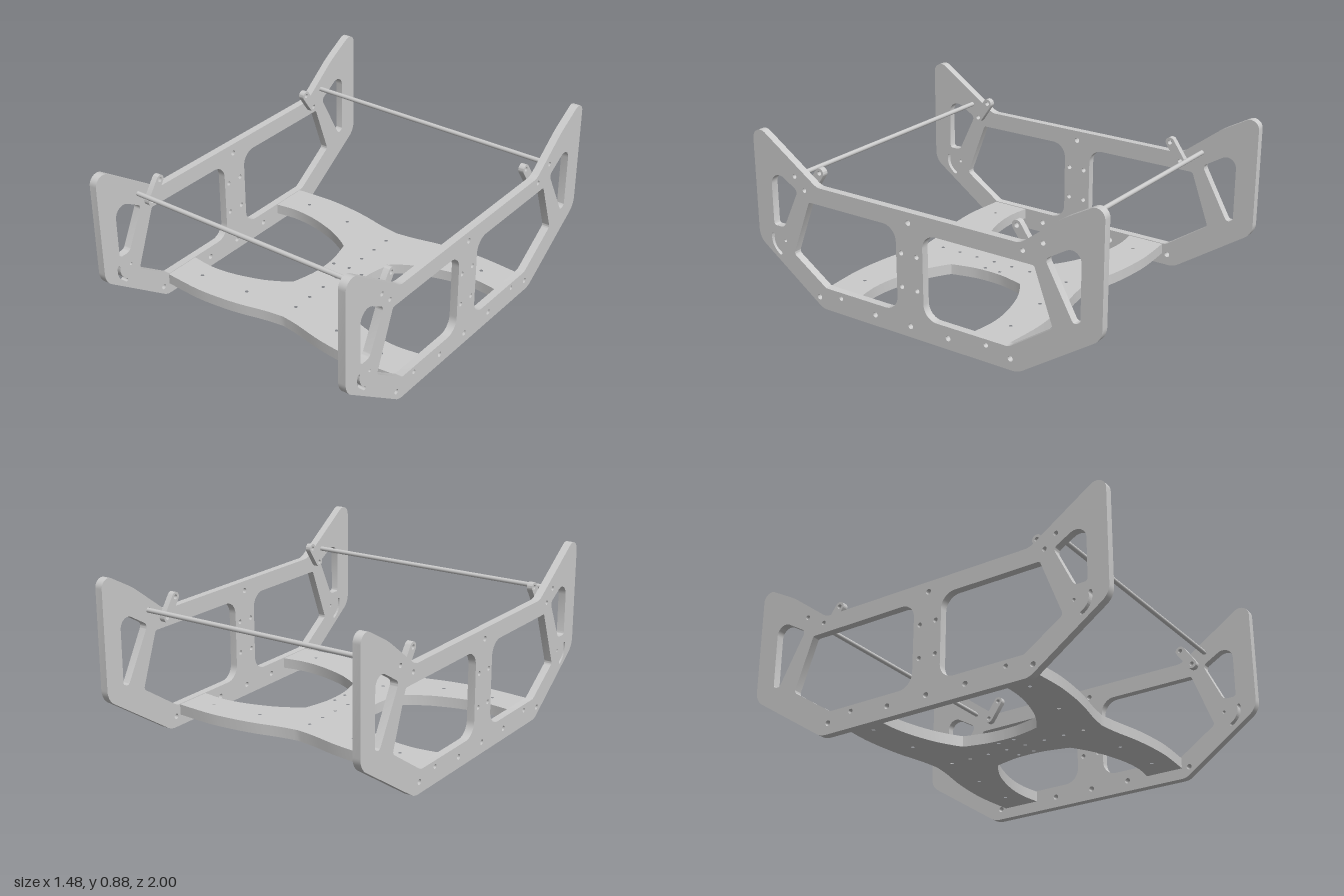
import * as THREE from 'three';
import { toCreasedNormals } from 'three/addons/utils/BufferGeometryUtils.js';

const material = new THREE.MeshStandardMaterial({ color: 0xcccccc });

// Polygon whose corners [u, v, radius] are filleted with near-circular arcs
function roundedPolygon(corners, path) {
  const n = corners.length;
  corners.forEach(([u, v, r], i) => {
    const p = new THREE.Vector2(u, v);
    const a = new THREE.Vector2(...corners[(i + n - 1) % n].slice(0, 2)).sub(p).normalize();
    const b = new THREE.Vector2(...corners[(i + 1) % n].slice(0, 2)).sub(p).normalize();
    const turn = Math.PI - Math.acos(a.dot(b));
    const cut = r * Math.tan(turn / 2);
    const inner = cut - (4 / 3) * Math.tan(turn / 4) * r;
    const at = (dir, d) => p.clone().addScaledVector(dir, d);
    const s = at(a, cut), c1 = at(a, inner), c2 = at(b, inner), e = at(b, cut);
    if (i === 0) path.moveTo(s.x, s.y);
    else path.lineTo(s.x, s.y);
    path.bezierCurveTo(c1.x, c1.y, c2.x, c2.y, e.x, e.y);
  });
  path.closePath();
  return path;
}

function addRoundHoles(shape, centres, radius) {
  for (const [u, v] of centres) {
    shape.holes.push(new THREE.Path().absarc(u, v, radius, 0, Math.PI * 2, true));
  }
}

function extrude(shape, depth) {
  const g = new THREE.ExtrudeGeometry(shape, { depth, bevelEnabled: false, curveSegments: 10 });
  return toCreasedNormals(g, 0.5);
}

function addMesh(parent, geometry, name) {
  const mesh = new THREE.Mesh(geometry, material);
  mesh.name = name;
  parent.add(mesh);
  return mesh;
}

// Side plate drawn in (z, y)
function sidePlateShape() {
  const shape = roundedPolygon([
    [1, 0.9, 0.05], [0.6, 0.632, 0.08], [-0.575, 0.632, 0.08], [-0.795, 0.797, 0.5],
    [-1, 0.91, 0.045], [-1, 0.285, 0.09], [-0.565, 0, 0.11], [0.595, 0, 0.08], [1, 0.285, 0.09],
  ], new THREE.Shape());
  const windows = [
    // large front and rear openings
    [[0.655, 0.545, 0.015], [0.12, 0.545, 0.075], [0.12, 0.115, 0.075], [0.57, 0.115, 0.03], [0.77, 0.25, 0.02]],
    [[-0.035, 0.545, 0.075], [-0.65, 0.545, 0.015], [-0.75, 0.27, 0.02], [-0.515, 0.115, 0.05], [-0.035, 0.115, 0.075]],
    // end openings
    [[0.895, 0.685, 0.055], [0.725, 0.587, 0.025], [0.828, 0.375, 0.035], [0.895, 0.375, 0.015]],
    [[-0.89, 0.7, 0.05], [-0.705, 0.59, 0.025], [-0.855, 0.32, 0.02], [-0.89, 0.335, 0.015]],
  ];
  for (const w of windows) shape.holes.push(roundedPolygon(w, new THREE.Path()));

  // curved adjustment slot around its pivot hole
  const slot = new THREE.Path();
  const cz = 0.825, cy = 0.305, r = 0.083, w = 0.009, a0 = -1.1, a1 = 0.2;
  slot.absarc(cz, cy, r + w, a0, a1, false);
  slot.absarc(cz + r * Math.cos(a1), cy + r * Math.sin(a1), w, a1, a1 + Math.PI, false);
  slot.absarc(cz, cy, r - w, a1, a0, true);
  slot.absarc(cz + r * Math.cos(a0), cy + r * Math.sin(a0), w, a0 + Math.PI, a0 + Math.PI * 2, false);
  shape.holes.push(slot);

  addRoundHoles(shape, [[cz, cy]], 0.008);
  addRoundHoles(shape, [[0.045, 0.58], [0.615, 0.057], [0.26, 0.057], [0.045, 0.057],
    [-0.175, 0.057], [-0.525, 0.057]], 0.014);
  addRoundHoles(shape, [[0.09, 0.42], [0, 0.42], [0.09, 0.25], [0, 0.25], [0.475, 0.085],
    [-0.39, 0.085], [0.74, 0.66], [-0.695, 0.66], [0.68, 0.6], [-0.59, 0.6]], 0.012);
  return shape;
}

// Capsule-shaped tab between two points in (z, y), with a hole at each end
function tabShape([z0, y0], [z1, y1], r) {
  const a = Math.atan2(y1 - y0, z1 - z0) + Math.PI / 2;
  const shape = new THREE.Shape();
  shape.absarc(z0, y0, r, a, a + Math.PI, false);
  shape.absarc(z1, y1, r, a + Math.PI, a + Math.PI * 2, false);
  shape.closePath();
  addRoundHoles(shape, [[z0, y0], [z1, y1]], 0.012);
  return shape;
}

// Waisted base plate drawn in (x, z), mirrored about both of its centre lines
function basePlateShape() {
  const mid = 0.04;
  const outer = [[0, 0.48], [0.1, 0.494], [0.25, 0.527], [0.4, 0.545], [0.52, 0.548], [0.7, 0.534]];
  const arm = [[0.7, 0.335], [0.58, 0.35], [0.45, 0.338], [0.3, 0.295], [0.2, 0.245], [0.15, 0.212]];
  const waist = [[0.15, 0.212], [0.138, 0.17], [0.118, 0.08], [0.113, 0]];
  const quarter = [];
  for (const pts of [outer, arm, waist]) {
    const curve = new THREE.SplineCurve(pts.map(([x, z]) => new THREE.Vector2(x, z)));
    quarter.push(...curve.getPoints(16));
  }
  const flip = (pts, sx, sz) => pts.map((p) => new THREE.Vector2(p.x * sx, mid + p.y * sz));
  const back = [...quarter].reverse();
  const all = [...flip(quarter, 1, 1), ...flip(back, 1, -1), ...flip(quarter, -1, -1), ...flip(back, -1, 1)];
  // drop the points doubled where the pieces meet
  const outline = all.filter((p, i) => p.distanceTo(all[(i + 1) % all.length]) > 1e-5);
  const shape = new THREE.Shape(outline);

  const holes = [];
  for (let i = 0; i < 8; i++) holes.push([0, -0.345 + i * 0.109]);
  for (const s of [-1, 1]) {
    holes.push([s * 0.28, -0.378], [s * 0.555, -0.4], [s * 0.28, 0.458], [s * 0.555, 0.48],
      [s * 0.088, -0.005], [s * 0.088, 0.083]);
  }
  addRoundHoles(shape, holes, 0.009);
  return shape;
}

export function createModel() {
  const model = new THREE.Group();
  model.name = 'openFrame';

  // Side plates and the small tabs on their inner faces
  const plate = extrude(sidePlateShape(), 0.04).rotateY(-Math.PI / 2);
  const tabs = {
    frontTab: extrude(tabShape([0.615, 0.69], [0.677, 0.601], 0.025), 0.03).rotateY(-Math.PI / 2),
    rearTab: extrude(tabShape([-0.53, 0.69], [-0.592, 0.601], 0.025), 0.03).rotateY(-Math.PI / 2),
  };
  for (const [side, x, tabX] of [['left', 0.738, 0.698], ['right', -0.698, -0.668]]) {
    const group = new THREE.Group();
    group.name = side + 'Side';
    addMesh(group, plate, 'sidePlate').position.x = x;
    for (const name in tabs) addMesh(group, tabs[name], name).position.x = tabX;
    model.add(group);
  }

  // Base plate
  const base = extrude(basePlateShape(), 0.055).rotateX(Math.PI / 2);
  addMesh(model, base, 'basePlate').position.y = 0.112;

  // Cross rods
  const rod = new THREE.CylinderGeometry(0.012, 0.012, 1.4, 20).rotateZ(Math.PI / 2);
  addMesh(model, rod, 'frontRod').position.set(0, 0.66, 0.738);
  addMesh(model, rod, 'rearRod').position.set(0, 0.66, -0.697);

  return model;
}
